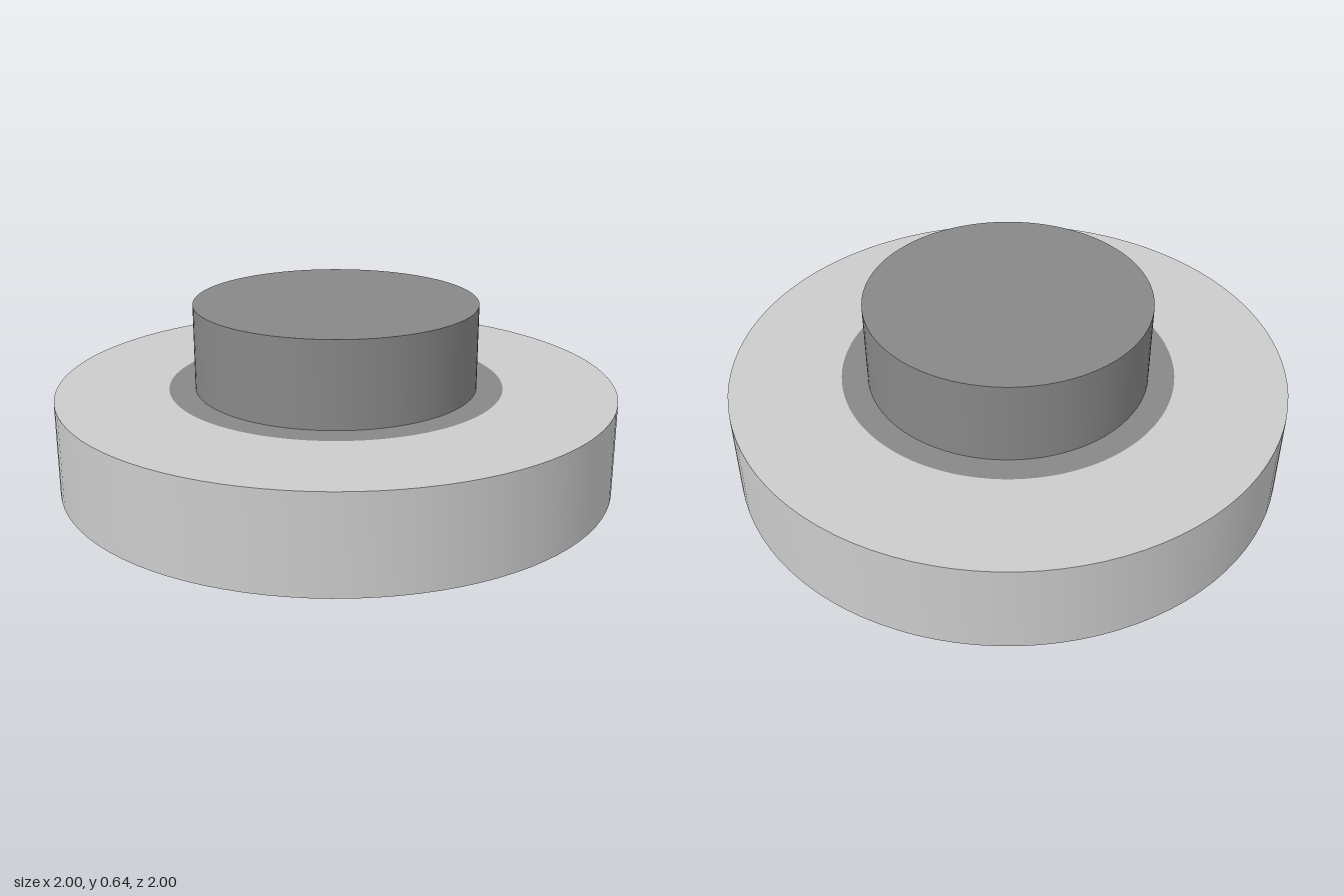
import * as THREE from 'three';
import { toCreasedNormals } from 'three/addons/utils/BufferGeometryUtils.js';

const SEGMENTS = 96;

// Turned part from [radius, height] points, with sharp rims and smooth walls
function turned(name, profile, color) {
  const points = profile.map(([r, y]) => new THREE.Vector2(r, y));
  const geometry = toCreasedNormals(new THREE.LatheGeometry(points, SEGMENTS), Math.PI / 6);
  const mesh = new THREE.Mesh(geometry, new THREE.MeshStandardMaterial({ color }));
  mesh.name = name;
  return mesh;
}

export function createModel() {
  const model = new THREE.Group();
  model.name = 'wheel';

  const rimRadius = 1, coreRadius = 0.6, hubRadius = 0.507;
  const rimHeight = 0.338, totalHeight = 0.643;

  // Light outer ring around the core
  model.add(turned('outerRing', [
    [coreRadius, 0], [rimRadius, 0], [rimRadius, rimHeight],
    [coreRadius, rimHeight], [coreRadius, 0],
  ], 0xcccccc));

  // Dark core, flush with the ring on both faces, with the raised hub on top
  model.add(turned('coreAndHub', [
    [0, 0], [coreRadius, 0], [coreRadius, rimHeight],
    [hubRadius, rimHeight], [hubRadius, totalHeight], [0, totalHeight],
  ], 0x888888));

  return model;
}
